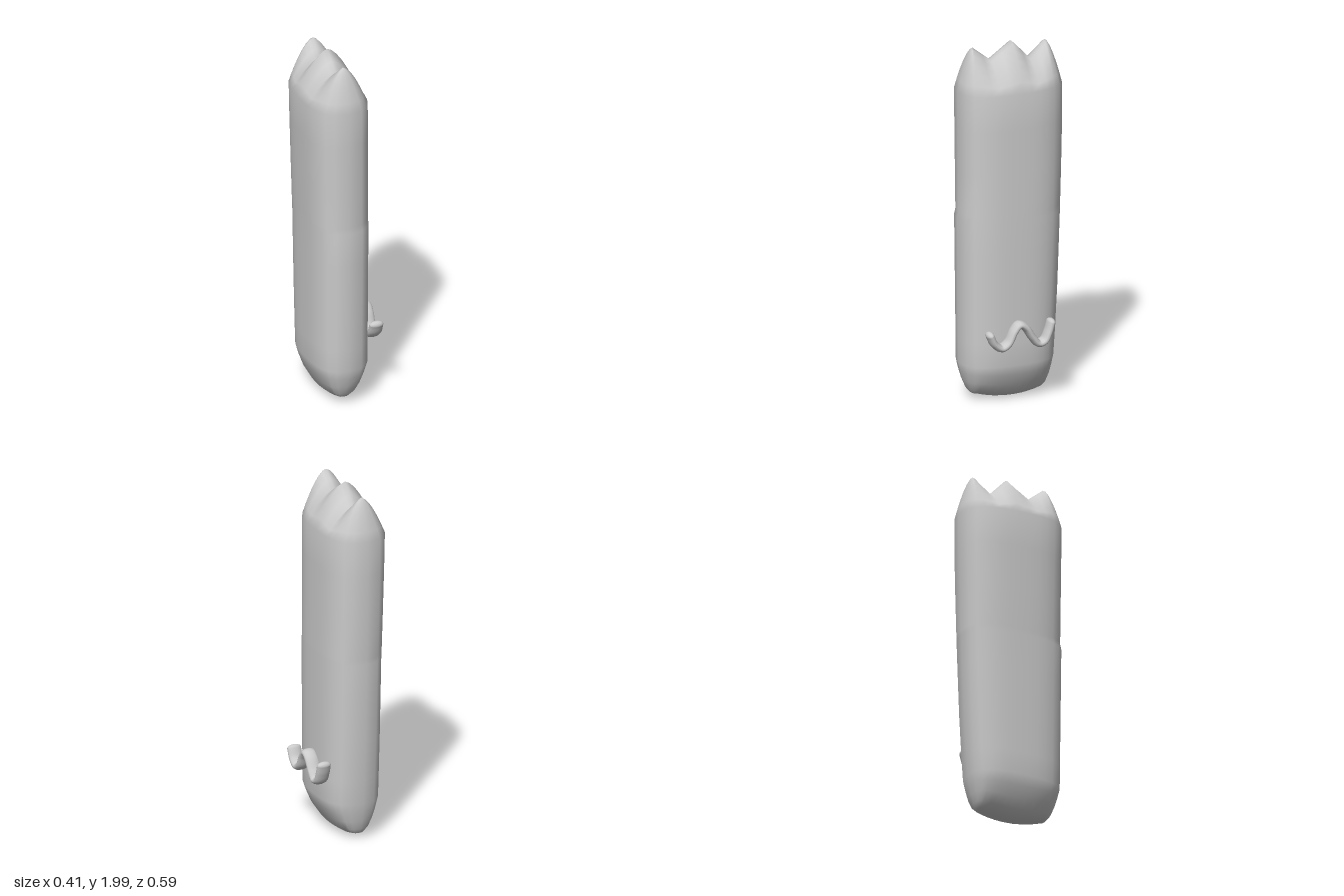
import * as THREE from 'three';
import { mergeVertices } from 'three/addons/utils/BufferGeometryUtils.js';

const { lerp, clamp } = THREE.MathUtils;
const material = new THREE.MeshStandardMaterial({ color: 0xcccccc, roughness: 0.8 });
const DEPTH = 0.297, MID_X = -0.035;

// Piecewise linear lookup through [key, value] pairs sorted by rising key
function lookup(table, k) {
  if (k <= table[0][0]) return table[0][1];
  for (let i = 1; i < table.length; i++) {
    const [k0, v0] = table[i - 1], [k1, v1] = table[i];
    if (k <= k1) return lerp(v0, v1, (k - k0) / (k1 - k0));
  }
  return table[table.length - 1][1];
}

// Limits of the slab at each height
const leftX = [[0.2, 0.136], [1, 0.14], [1.76, 0.136]];
const rightX = [[0.2, -0.18], [1.04, -0.187], [1.07, -0.189], [1.76, -0.207]];
const frontZ = [[0.2, 0.291], [1.04, 0.3], [1.07, 0.292], [1.76, 0.297]];
const backZ = [[0.2, 0.237], [0.5, 0.258], [1, 0.277], [1.5, 0.292], [1.76, 0.292]];
// Three torn peaks along the top
const crest = [[-0.21, 1.98], [-0.12, 1.89], [-0.015, 2], [0.11, 1.91], [0.21, 1.99]];

// Rounded oblong outline, counter-clockwise from above
function makeOutline() {
  const zs = [0.297, 0.283, 0.25, 0.21, 0.16, 0.11, 0.05, -0.015, -0.07, -0.12, -0.165, -0.21, -0.25, -0.283, -0.297];
  const width = z => Math.pow(Math.max(0, 1 - Math.pow(Math.abs(z) / DEPTH, 2.7)), 1 / 2.7);
  const left = zs.map(z => [width(z), z]);
  const right = zs.slice(1, -1).reverse().map(z => [-width(z), z]);
  return [...left, ...right];
}

function sidePoint([u, z], y) {
  const px = u > 0 ? lerp(MID_X, lookup(leftX, y), u) : lerp(MID_X, lookup(rightX, y), -u);
  const pz = z / DEPTH * lookup(z > 0 ? frontZ : backZ, y);
  return [px, y, pz];
}

// Cap rings close the outline towards a ridge on the middle line
function topPoint(p, t) {
  const [x, y, z] = sidePoint(p, 1.75);
  const ridgeZ = clamp(z, -0.21, 0.21);
  return [lerp(MID_X, x, t), lerp(lookup(crest, ridgeZ), y, Math.pow(t, 1.6)), lerp(ridgeZ, z, t)];
}

function bottomPoint(p, t) {
  const [x, y, z] = sidePoint(p, 0.22);
  const ridgeZ = clamp(z, -0.17, 0.2);
  const ridgeY = 0.005 + 0.05 * (ridgeZ / 0.25) ** 2;
  return [lerp(MID_X, x, t), lerp(ridgeY, y, Math.pow(t, 2.5)), lerp(ridgeZ, z, t)];
}

function makeBody() {
  const outline = makeOutline(), n = outline.length;
  const rings = [];
  for (const t of [0, 0.25, 0.5, 0.72, 0.88]) rings.push(outline.map(p => bottomPoint(p, t)));
  for (const y of [0.22, 0.35, 0.6, 0.85, 1.04, 1.07, 1.3, 1.55, 1.75]) rings.push(outline.map(p => sidePoint(p, y)));
  for (const t of [0.85, 0.68, 0.5, 0.32, 0.15, 0]) rings.push(outline.map(p => topPoint(p, t)));

  const index = [];
  for (let i = 0; i < rings.length - 1; i++) {
    for (let j = 0; j < n; j++) {
      const a = i * n + j, b = i * n + (j + 1) % n;
      index.push(a, b, b + n, a, b + n, a + n);
    }
  }
  const geometry = new THREE.BufferGeometry();
  geometry.setAttribute('position', new THREE.Float32BufferAttribute(rings.flat(2), 3));
  geometry.setIndex(index);
  const welded = mergeVertices(geometry, 1e-4);
  welded.computeVertexNormals();
  return welded;
}

// Wavy raised strip with rounded ends, wider across than it is thick
function makeWave() {
  const group = new THREE.Group();
  group.name = 'wavyMouth';
  const path = [[0.195, 0.42], [0.17, 0.37], [0.13, 0.342], [0.09, 0.365], [0.055, 0.43], [0.025, 0.46],
    [-0.01, 0.44], [-0.05, 0.38], [-0.085, 0.342], [-0.12, 0.352], [-0.145, 0.4], [-0.16, 0.45]]
    .map(([z, y]) => new THREE.Vector3(0, y, z));
  const strip = new THREE.Mesh(new THREE.TubeGeometry(new THREE.CatmullRomCurve3(path), 60, 0.021, 14), material);
  strip.name = 'mouthStrip';
  group.add(strip);
  for (const end of [path[0], path[path.length - 1]]) {
    const tip = new THREE.Mesh(new THREE.SphereGeometry(0.021, 14, 10), material);
    tip.name = 'mouthTip';
    tip.position.copy(end);
    group.add(tip);
  }
  group.scale.x = 1.95;
  group.position.x = 0.163;
  return group;
}

export function createModel() {
  const model = new THREE.Group();
  model.name = 'peakedSlab';
  const body = new THREE.Mesh(makeBody(), material);
  body.name = 'body';
  model.add(body, makeWave());
  return model;
}
